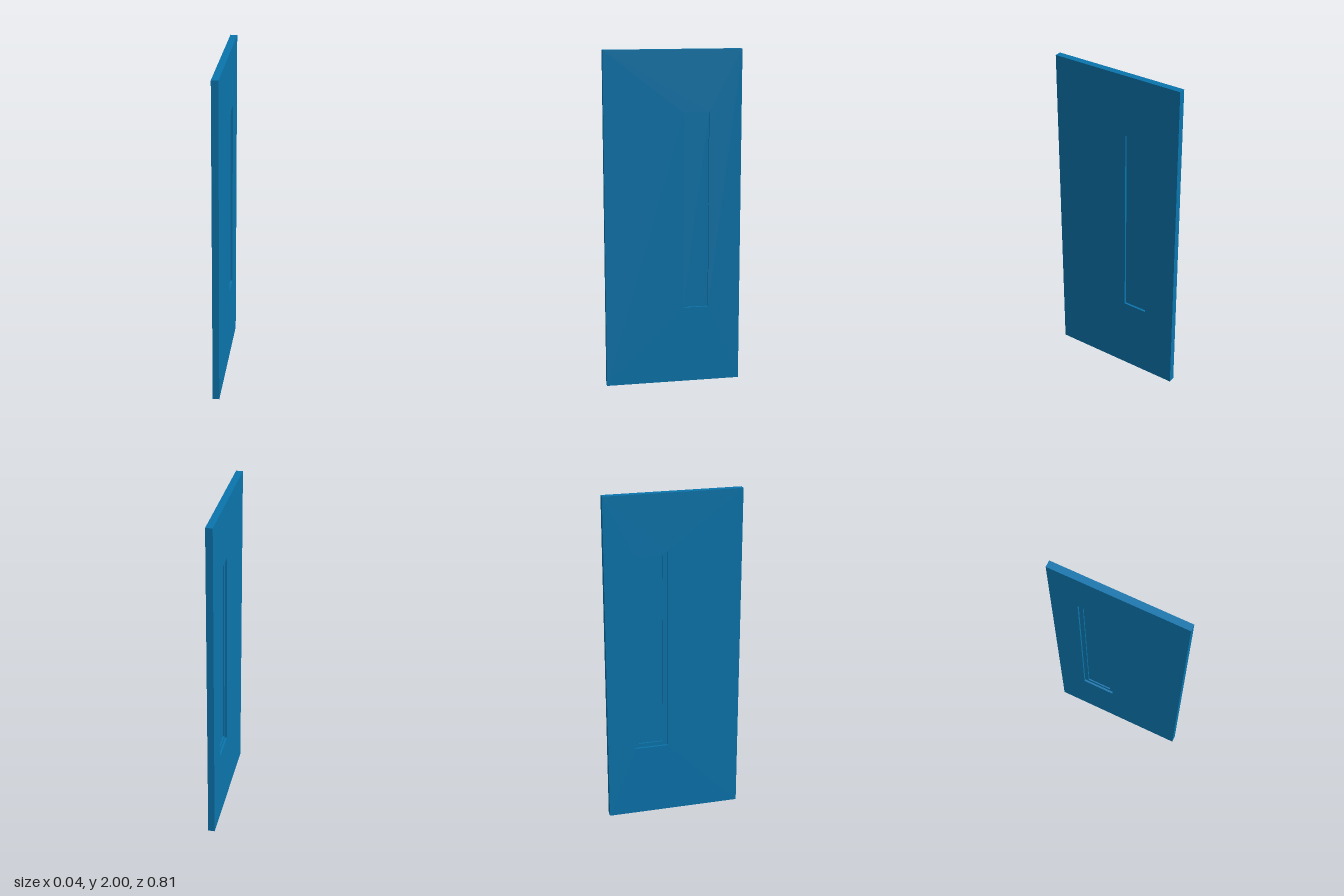
import * as THREE from 'three';

const material = new THREE.MeshStandardMaterial({ color: 0x0b75ad, flatShading: true });

// Rectangle in the plane x, corners counter-clockwise seen from +x
const rect = (x, [z0, z1, y0, y1]) => [[x, y0, z1], [x, y0, z0], [x, y1, z0], [x, y1, z1]];

// Joins successive loops into a closed, flat-faced ring
function loftRing(loops) {
  const positions = [];
  loops.forEach((a, i) => {
    const b = loops[(i + 1) % loops.length];
    a.forEach((corner, k) => {
      const n = (k + 1) % a.length;
      positions.push(...corner, ...b[k], ...b[n], ...corner, ...b[n], ...a[n]);
    });
  });
  const geometry = new THREE.BufferGeometry();
  geometry.setAttribute('position', new THREE.Float32BufferAttribute(positions, 3));
  geometry.computeVertexNormals();
  return geometry;
}

export function createModel() {
  const model = new THREE.Group();
  model.name = 'door';

  const half = 0.02;    // half the leaf thickness
  const step = -0.008;  // depth of the rebate floor
  const leaf = [-0.405, 0.405, 0, 2];
  const opening = [-0.213, -0.063, 0.465, 1.637];
  const rebate = [-0.238, -0.038, 0.44, 1.662];

  // Door leaf with a window opening, rebated on the -x side
  const doorLeaf = new THREE.Mesh(loftRing([
    rect(half, opening), rect(half, leaf), rect(-half, leaf),
    rect(-half, rebate), rect(step, rebate), rect(step, opening),
  ]), material);
  doorLeaf.name = 'doorLeaf';

  // Pane set back inside the opening
  const [z0, z1, y0, y1] = opening;
  const pane = new THREE.Mesh(new THREE.BoxGeometry(0.007, y1 - y0, z1 - z0), material);
  pane.position.set(0.0035, (y0 + y1) / 2, (z0 + z1) / 2);
  pane.name = 'windowPane';

  model.add(doorLeaf, pane);
  return model;
}
